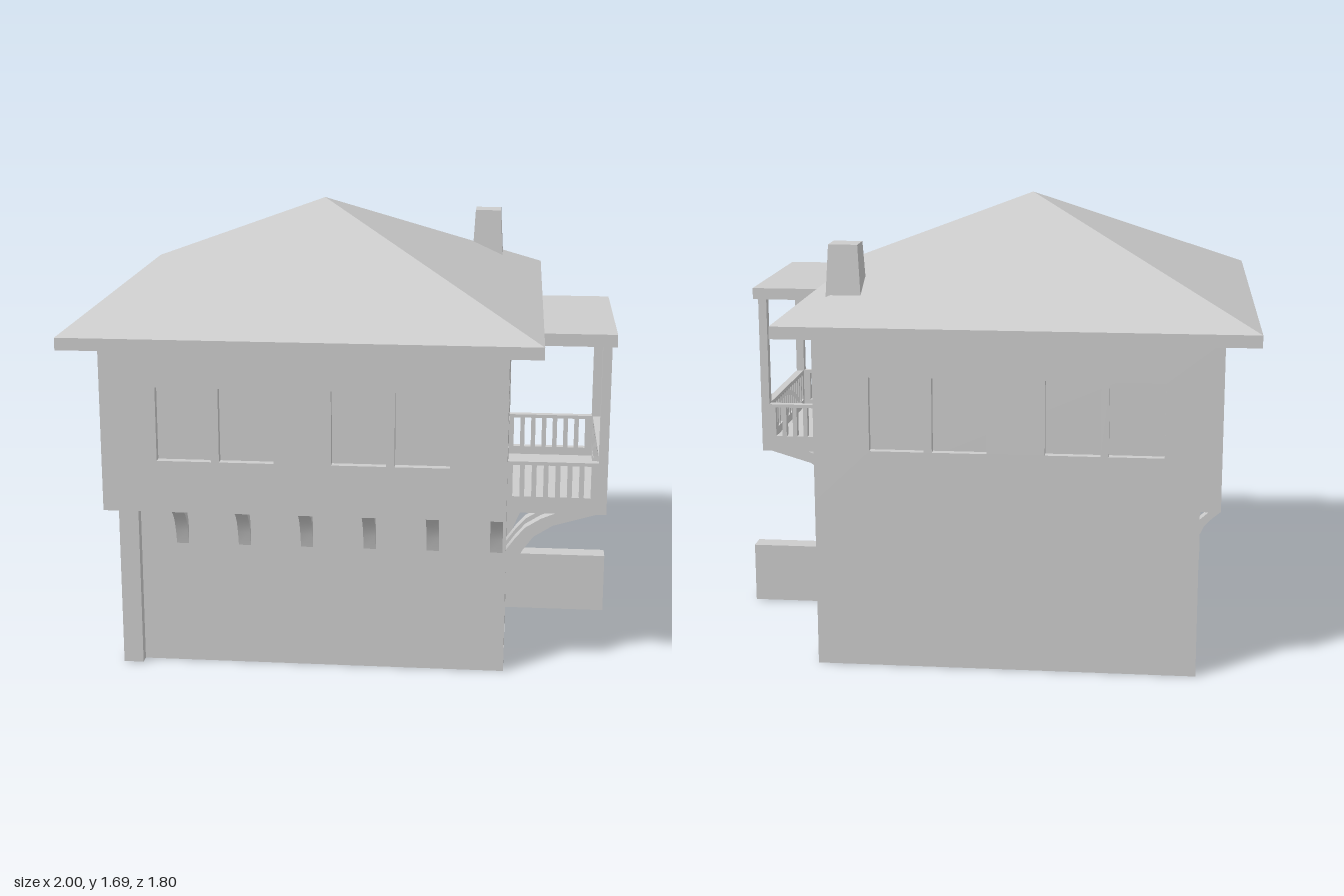
import * as THREE from 'three';
import { toCreasedNormals } from 'three/addons/utils/BufferGeometryUtils.js';

const grey = new THREE.MeshStandardMaterial({ color: 0xcccccc });
const flat = new THREE.MeshStandardMaterial({ color: 0xcccccc, flatShading: true });

export function createModel() {
  const house = new THREE.Group();
  house.name = 'house';

  const add = (name, geometry, material = grey) => {
    const mesh = new THREE.Mesh(geometry, material);
    mesh.name = name;
    house.add(mesh);
    return mesh;
  };

  // Box given by its extents
  const box = (name, x0, x1, y0, y1, z0, z1) =>
    add(name, new THREE.BoxGeometry(x1 - x0, y1 - y0, z1 - z0)
      .translate((x0 + x1) / 2, (y0 + y1) / 2, (z0 + z1) / 2));

  // Rectangle outline [u0, u1, v0, v1] with optional rounded corners
  const rect = (path, [u0, u1, v0, v1], r = 0) => {
    if (!r) {
      path.moveTo(u0, v0).lineTo(u1, v0).lineTo(u1, v1).lineTo(u0, v1).closePath();
    } else {
      path.absarc(u1 - r, v0 + r, r, -Math.PI / 2, 0);
      path.absarc(u1 - r, v1 - r, r, 0, Math.PI / 2);
      path.absarc(u0 + r, v1 - r, r, Math.PI / 2, Math.PI);
      path.absarc(u0 + r, v0 + r, r, Math.PI, Math.PI * 1.5);
      path.closePath();
    }
    return path;
  };

  // Pierced panel standing in the xy plane, extruded along +z
  const panel = (name, outline, holes, depth, r = 0) => {
    const shape = rect(new THREE.Shape(), outline);
    shape.holes = holes.map((h) => rect(new THREE.Path(), h, r));
    return add(name, new THREE.ExtrudeGeometry(shape, { depth, bevelEnabled: false, curveSegments: 3 }));
  };

  // Same panel turned to face +x (its u axis runs along -z)
  const sidePanel = (name, outline, holes, depth, x, r = 0) => {
    const mesh = panel(name, outline, holes, depth, r);
    mesh.rotation.y = Math.PI / 2;
    mesh.position.x = x;
  };

  const inset = 0.03;

  // Ground floor with door recess on the right
  box('lowerWalls', -0.805, 0.6 - inset, 0, 0.63, -0.76, 0.65);
  sidePanel('doorWall', [-0.65, 0.76, 0, 0.63], [[-0.48, -0.12, 0.004, 0.475]], inset, 0.6 - inset);
  box('cornerPillar', -0.842, -0.768, 0, 0.63, 0.613, 0.69);

  // Upper floor with recessed windows on front, back and right
  box('upperWalls', -0.88, 0.6 - inset, 0.63, 1.26, -0.76 + inset, 0.77 - inset);
  const windows = [-0.675, -0.445, -0.035, 0.195].map((x) => [x, x + 0.2, 0.825, 1.1]);
  panel('frontWindowWall', [-0.88, 0.6, 0.63, 1.26], windows, inset).position.z = 0.77 - inset;
  panel('backWindowWall', [-0.88, 0.6, 0.63, 1.26], windows, inset).position.z = -0.76;
  sidePanel('rightWindowWall', [-0.74, 0.73, 0.63, 1.26],
    [[-0.58, -0.385, 0.825, 1.1], [-0.195, 0, 0.825, 1.1]], inset, 0.6 - inset);

  // Hipped roof on an eave slab
  box('eaveSlab', -1, 0.72, 1.26, 1.305, -0.9, 0.9);
  const roof = new THREE.ConeGeometry(Math.SQRT1_2, 0.39, 4, 1).rotateY(Math.PI / 4)
    .scale(1.72, 1, 1.8).translate(-0.14, 1.5, 0);
  add('roof', roof, flat);
  box('balconyRoof', 0.72, 0.98, 1.26, 1.305, -0.07, 0.665);

  // Tapered chimney
  const chimney = new THREE.CylinderGeometry(0.053 * Math.SQRT2, 0.064 * Math.SQRT2, 0.19, 4, 1)
    .rotateY(Math.PI / 4).translate(0.489, 1.475, -0.645);
  add('chimney', chimney, flat);

  // Balcony floor, slotted railings and posts
  box('balconyFloor', 0.6, 0.935, 0.63, 0.66, -0.03, 0.63);
  const slots = (count, start, step) => Array.from({ length: count },
    (_, i) => [start + i * step, start + i * step + 0.026, 0.692, 0.812]);
  sidePanel('outerRailing', [-0.654, 0.053, 0.63, 0.825], slots(16, -0.6, 0.0382), 0.03, 0.933, 0.009);
  for (const z of [-0.053, 0.624]) {
    panel('endRailing', [0.6, 0.933, 0.63, 0.825], slots(7, 0.619, 0.0433), 0.03).position.z = z;
  }
  for (const z of [-0.053, 0.617]) box('balconyPost', 0.93, 0.963, 0.825, 1.26, z, z + 0.037);

  // Curved brackets: outline as [reach, height], extruded sideways
  const bracketGeometry = (points) => {
    const shape = new THREE.Shape(points.map(([d, y]) => new THREE.Vector2(d, y)));
    const g = new THREE.ExtrudeGeometry(shape, { depth: 0.046, bevelEnabled: false });
    return toCreasedNormals(g.translate(0, 0, -0.023), 0.7);
  };
  const bracket = (name, geometry, x, z, turn) => {
    const mesh = add(name, geometry);
    mesh.position.set(x, 0, z);
    mesh.rotation.y = turn;
  };
  const large = bracketGeometry([[0, 0.305], [0.027, 0.4], [0.06, 0.475], [0.1, 0.53], [0.17, 0.575],
    [0.355, 0.63], [0.195, 0.63], [0.125, 0.6], [0.07, 0.565], [0.035, 0.525], [0, 0.475]]);
  const small = bracketGeometry([[0, 0.47], [0.015, 0.525], [0.038, 0.575], [0.06, 0.6],
    [0.095, 0.63], [0.055, 0.63], [0.022, 0.6], [0, 0.555]]);
  for (const z of [0.608, 0.504, 0.096, -0.005]) bracket('balconyBracket', large, 0.6, z, 0);
  for (let i = 0; i < 6; i++) {
    bracket('frontBracket', small, -0.61 + i * 0.235, 0.65, -Math.PI / 2);
    bracket('leftBracket', small, -0.782, -0.735 + i * 0.235, Math.PI);
  }

  // Low garden wall beside the door
  box('gardenWall', 0.6, 1, 0, 0.236, -0.092, -0.015);

  return house;
}
